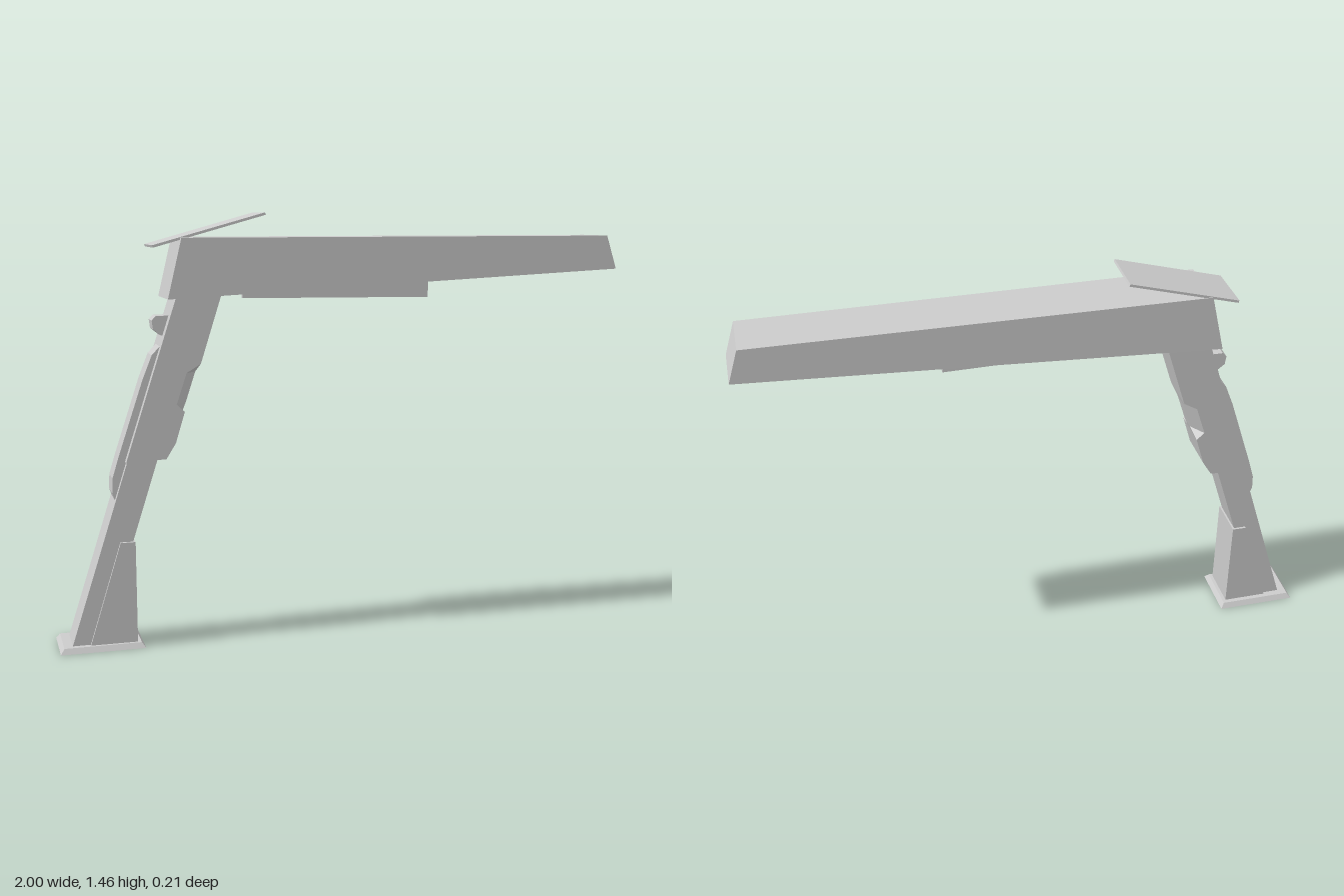
import * as THREE from 'three';

const material = new THREE.MeshStandardMaterial({ color: 0xcccccc, flatShading: true });

// Solid between two counter-clockwise side outlines: back at z0, front at z1.
// Each outline point is [x, y] or [x, y, z] where z overrides the plane.
function loft(name, back, z0, front, z1) {
  const n = back.length;
  const at = (p, z) => [p[0], p[1], p[2] ?? z];
  const b = back.map((p) => at(p, z0));
  const f = front.map((p) => at(p, z1));
  const pos = [];
  const tri = (...corners) => corners.forEach((c) => pos.push(...c));
  const caps = (o) => THREE.ShapeUtils.triangulateShape(o.map((p) => new THREE.Vector2(p[0], p[1])), []);
  for (const [i, j, k] of caps(f)) tri(f[i], f[j], f[k]);
  for (const [i, j, k] of caps(b)) tri(b[k], b[j], b[i]);
  for (let i = 0; i < n; i++) {
    const j = (i + 1) % n;
    tri(b[i], b[j], f[j]);
    tri(b[i], f[j], f[i]);
  }
  const g = new THREE.BufferGeometry();
  g.setAttribute('position', new THREE.Float32BufferAttribute(pos, 3));
  g.computeVertexNormals();
  const mesh = new THREE.Mesh(g, material);
  mesh.name = name;
  return mesh;
}

const slab = (name, outline, z0, z1) => loft(name, outline, z0, outline, z1);

export function createModel() {
  const model = new THREE.Group();
  model.name = 'cantileverArm';

  // Bevelled ground plate
  const plate = new THREE.BoxGeometry(0.285, 0.018, 0.2);
  const p = plate.attributes.position;
  for (let i = 0; i < p.count; i++) {
    if (p.getY(i) > 0) p.setXYZ(i, p.getX(i) * 0.91, p.getY(i), p.getZ(i) * 0.88);
  }
  plate.translate(-0.8575, 0.009, -0.003);
  plate.computeVertexNormals();
  const base = new THREE.Mesh(plate, material);
  base.name = 'basePlate';
  model.add(base);

  // Slanted lower post and the block bracing its foot
  model.add(slab('lowerPost', [[-0.96, 0.01], [-0.86, 0.01], [-0.64, 0.7], [-0.74, 0.7]], -0.067, 0.065));
  model.add(slab('footBlock', [[-0.9, 0.01], [-0.74, 0.01], [-0.74, 0.365], [-0.79, 0.365]], -0.075, 0.075));

  // Upper post: solid core with two cheeks, each chamfered at a notch
  const outline = (lowNotch, highNotch) => [
    [-0.765, 0.635], [-0.63, 0.642], [-0.597, 0.695], [-0.565, 0.8],
    lowNotch, highNotch,
    [-0.508, 0.96], [-0.435, 1.19], [-0.585, 1.19],
  ];
  const full = outline([-0.553, 0.83], [-0.52, 0.93]);
  const cut = outline([-0.592, 0.825], [-0.557, 0.93]);
  const upper = new THREE.Group();
  upper.name = 'upperPost';
  upper.add(slab('core', full, -0.03, 0.03));
  upper.add(loft('leftCheek', full, 0.03, cut, 0.073));
  upper.add(loft('rightCheek', cut, -0.075, full, -0.03));
  model.add(upper);

  // Curved spine along the rear of the post, and the small knob above it
  model.add(slab('rearSpine', [
    [-0.8, 0.5], [-0.72, 0.66], [-0.6, 1.04], [-0.635, 1.025], [-0.668, 0.99],
    [-0.7, 0.91], [-0.74, 0.79], [-0.785, 0.655], [-0.808, 0.58], [-0.81, 0.53],
  ], -0.047, 0.043));
  model.add(slab('rearKnob', [
    [-0.6, 1.05], [-0.59, 1.12], [-0.65, 1.12], [-0.664, 1.105], [-0.66, 1.075], [-0.635, 1.055],
  ], -0.035, 0.033));

  // Long tapering beam, its rear side drawing in toward the tip
  const beam = [[-0.62, 1.178], [1, 1.26], [0.962, 1.378], [-0.572, 1.378]];
  const rear = beam.map(([x, y]) => [x, y, x > 0 ? -0.08 : -0.1]);
  model.add(loft('beam', rear, -0.1, beam, 0.107));

  // Thin fin under the beam
  model.add(slab('underFin', [[-0.35, 1.172], [0.318, 1.165], [0.318, 1.23], [-0.35, 1.198]], -0.009, 0.009));

  // Tilted panel on top
  model.add(slab('topPanel', [[-0.662, 1.346], [-0.284, 1.452], [-0.287, 1.46], [-0.665, 1.354]], -0.097, 0.085));

  return model;
}
